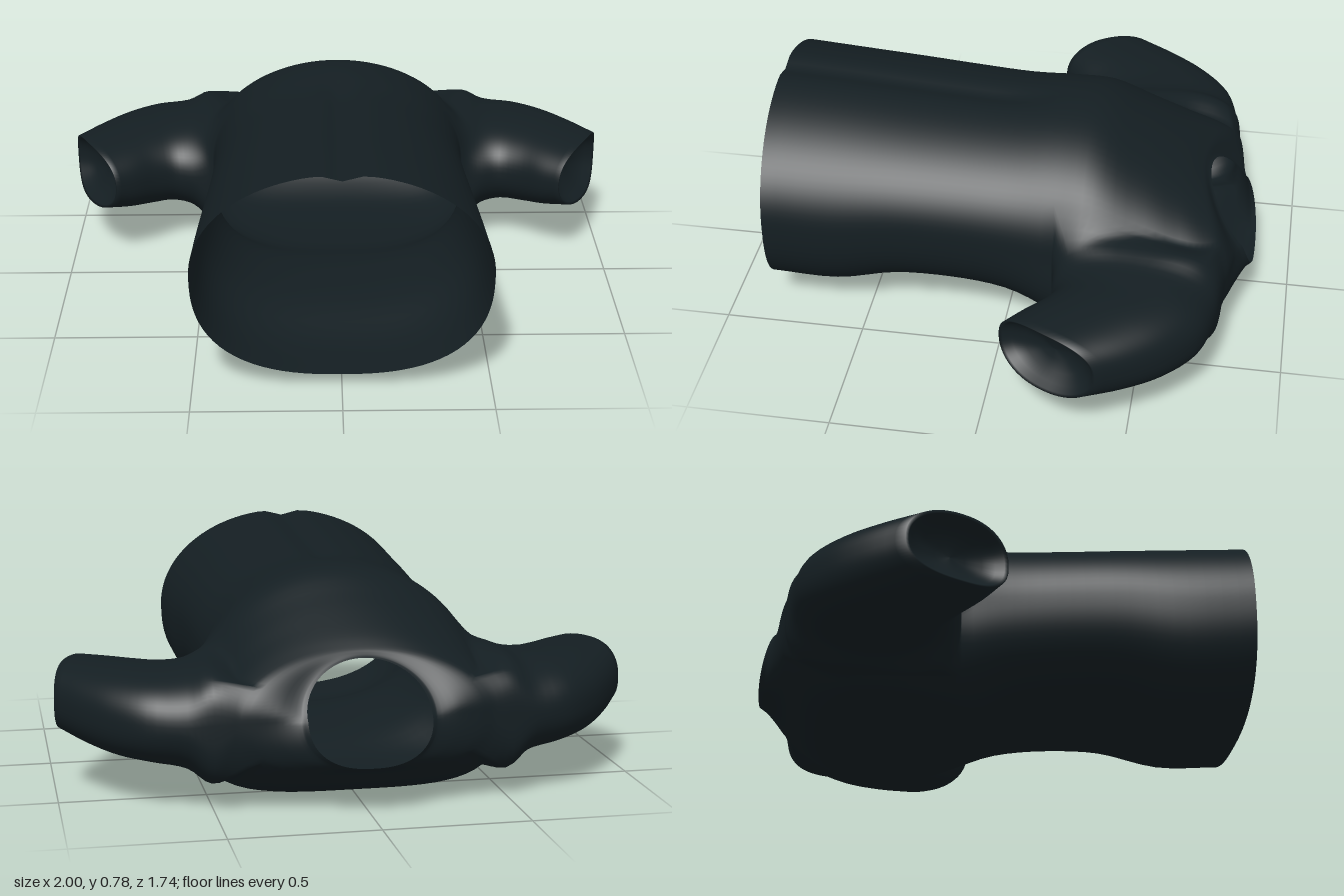
import * as THREE from 'three';

// Torso rings from hem to collar: front z, front y, half width, back z, back y, side z
const RINGS = [
  [0.865, 0.78, 0.5, 0.85, 0.048, 0.842],
  [0.62, 0.767, 0.49, 0.62, 0.037, 0.61],
  [0.4, 0.752, 0.472, 0.4, 0.083, 0.4],
  [0.2, 0.74, 0.46, 0.2, 0.083, 0.2],
  [0, 0.732, 0.455, 0, 0.058, 0],
  [-0.17, 0.74, 0.462, -0.17, 0.012, -0.18],
  [-0.3, 0.73, 0.475, -0.3, 0, -0.31],
  [-0.44, 0.66, 0.48, -0.45, 0, -0.47],
  [-0.55, 0.598, 0.48, -0.58, 0.012, -0.61],
  [-0.62, 0.555, 0.465, -0.7, 0.065, -0.71],
  [-0.66, 0.525, 0.42, -0.78, 0.125, -0.78],
  [-0.675, 0.51, 0.31, -0.825, 0.148, -0.8],
  [-0.685, 0.5, 0.228, -0.85, 0.155, -0.805],
  [-0.692, 0.495, 0.208, -0.87, 0.165, -0.812],
];
// Sleeve rings from shoulder to cuff: outer x, outer z, armpit-side x, z, low y, high y, bulge
const SLEEVE = [
  [0.505, -0.772, 0.49, -0.187, 0.07, 0.478, 0],
  [0.59, -0.76, 0.545, -0.192, 0.112, 0.46, 0],
  [0.72, -0.725, 0.61, -0.2, 0.135, 0.452, 0],
  [0.83, -0.64, 0.68, -0.165, 0.145, 0.45, 0],
  [0.92, -0.53, 0.75, -0.105, 0.165, 0.445, 0.01],
  [1.0, -0.4, 0.82, -0.055, 0.195, 0.438, 0.03],
];
// Dish closing the cuff: scale of the cuff ring, depth
const DISH = [[0.93, 0.005], [0.82, 0.03], [0.6, 0.055], [0.3, 0.075], [0, 0.08]];
const AXIS = new THREE.Vector3(0.887, 0, 0.462);
const AROUND = 96, SUB = 4, ROWS = (RINGS.length - 1) * SUB;
const HOLE = { i0: 5 * SUB, i1: 10 * SUB, j0: -11, j1: 8 }; // armhole in the torso grid
const STEPS = 24;

const { smoothstep } = THREE.MathUtils;
const wrap = j => (j + AROUND) % AROUND;
const power = (v, e) => Math.sign(v) * Math.abs(v) ** e;

export function createModel() {
  const positions = [];
  const vertex = p => positions.push(p.x, p.y, p.z) / 3 - 1;
  const read = i => new THREE.Vector3().fromArray(positions, i * 3);

  // Torso grid: rounded front with a shallow crease, broad flat back at the shoulders
  const front = new THREE.CatmullRomCurve3(RINGS.map(r => new THREE.Vector3(r[0], r[1], r[2])));
  const back = new THREE.CatmullRomCurve3(RINGS.map(r => new THREE.Vector3(r[3], r[4], r[5])));
  for (let i = 0; i <= ROWS; i++) {
    const { x: zF, y: yF, z: w } = front.getPoint(i / ROWS);
    const { x: zB, y: yB, z: zS } = back.getPoint(i / ROWS);
    const shoulder = Math.exp(-(((zS + 0.42) / 0.24) ** 2));
    const collar = 1 - smoothstep(w, 0.21, 0.42);
    for (let j = 0; j < AROUND; j++) {
      const a = j / AROUND * Math.PI * 2, c = Math.cos(a), s = Math.sin(a);
      const n = s < 0 ? 2.55 + 2.3 * shoulder - 0.3 * collar : 2;
      const r = (Math.abs(c) ** n + Math.abs(s) ** n) ** (-1 / n);
      const x = w * c * r * (1 + 0.09 * shoulder * smoothstep(-s, 0, 0.5)), v = s * r;
      const z = s > 0 ? zS + v ** (2 - collar) * (zF - zS) : zS + (-v) ** (2 - 1.4 * collar) * (zB - zS);
      let y = (yF + yB) / 2 + (yF - yB) / 2 * v;
      if (s > 0) y -= 0.022 * Math.exp(-((x / 0.045) ** 2)) * smoothstep(z, -0.2, 0.1);
      vertex({ x, y, z });
    }
  }
  const inHole = (i, j) => {
    const side = k => i >= HOLE.i0 && i < HOLE.i1 && k >= HOLE.j0 && k < HOLE.j1;
    return side(j) || side(j - AROUND) || side(AROUND / 2 - 1 - j);
  };
  const torso = [];
  for (let i = 0; i < ROWS; i++) for (let j = 0; j < AROUND; j++) {
    if (inHole(i, j)) continue;
    const a = i * AROUND + j, b = i * AROUND + wrap(j + 1);
    torso.push(a, a + AROUND, b + AROUND, a, b + AROUND, b);
  }

  // Armhole edge, sorted around the opening
  const edge = [];
  for (let i = HOLE.i0; i <= HOLE.i1; i++) for (let j = HOLE.j0; j <= HOLE.j1; j++) {
    if (i > HOLE.i0 && i < HOLE.i1 && j > HOLE.j0 && j < HOLE.j1) continue;
    const u = (i - HOLE.i0) / (HOLE.i1 - HOLE.i0) * 2 - 1;
    const v = (j - HOLE.j0) / (HOLE.j1 - HOLE.j0) * 2 - 1;
    edge.push({ i, j, phi: Math.atan2(v, u) });
  }
  edge.sort((p, q) => p.phi - q.phi);

  // Sleeve: a smooth strand from every armhole point to the cuff, then into the dish
  const [ox, oz, ix, iz, lo, hi] = SLEEVE.at(-1);
  const cuffCentre = new THREE.Vector3((ox + ix) / 2, (lo + hi) / 2, (oz + iz) / 2).addScaledVector(AXIS, 0.03);
  const mirror = (p, sign) => p.setX(p.x * sign);

  function sleeve(sign) {
    const strands = edge.map(({ i, j, phi }) => {
      const start = i * AROUND + wrap(sign > 0 ? j : AROUND / 2 - j);
      const rings = SLEEVE.map(([ox, oz, ix, iz, lo, hi, bulge], k) => {
        const e = k === 0 ? 0.6 : 0.85; // squarer next to the armhole
        const c = power(Math.cos(phi), e), s = power(Math.sin(phi), e);
        return new THREE.Vector3((ox + ix) / 2 + c * (ox - ix) / 2, (lo + hi) / 2 + s * (hi - lo) / 2,
          (oz + iz) / 2 + c * (oz - iz) / 2).addScaledVector(AXIS, bulge * (1 - c * c));
      });
      const rim = rings.at(-1);
      const dish = DISH.map(([scale, depth]) =>
        cuffCentre.clone().lerp(rim, scale).addScaledVector(AXIS, -depth));
      const curve = new THREE.CatmullRomCurve3([mirror(read(start), sign), ...rings]);
      const points = [...curve.getPoints(STEPS).slice(1), ...dish];
      return [start, ...points.map(p => vertex(mirror(p, sign)))];
    });
    const index = [];
    strands.forEach((p, k) => {
      const q = strands[(k + 1) % strands.length];
      const [l, r] = sign > 0 ? [p, q] : [q, p];
      for (let m = 0; m < p.length - 1; m++) {
        index.push(l[m], r[m], r[m + 1], l[m], r[m + 1], l[m + 1]);
      }
    });
    return index;
  }
  const parts = { torso, leftSleeve: sleeve(1), rightSleeve: sleeve(-1) };

  // Shared positions and normals keep the shoulder joins seamless
  const whole = new THREE.BufferGeometry();
  whole.setAttribute('position', new THREE.Float32BufferAttribute(positions, 3));
  whole.setIndex(Object.values(parts).flat());
  whole.computeVertexNormals();

  const cloth = new THREE.MeshStandardMaterial({ color: 0x141e22, side: THREE.DoubleSide });
  const shirt = new THREE.Group();
  shirt.name = 'shirt';
  for (const [name, index] of Object.entries(parts)) {
    const geometry = new THREE.BufferGeometry();
    geometry.setAttribute('position', whole.attributes.position);
    geometry.setAttribute('normal', whole.attributes.normal);
    geometry.setIndex(index);
    const mesh = new THREE.Mesh(geometry, cloth);
    mesh.name = name;
    shirt.add(mesh);
  }
  return shirt;
}
